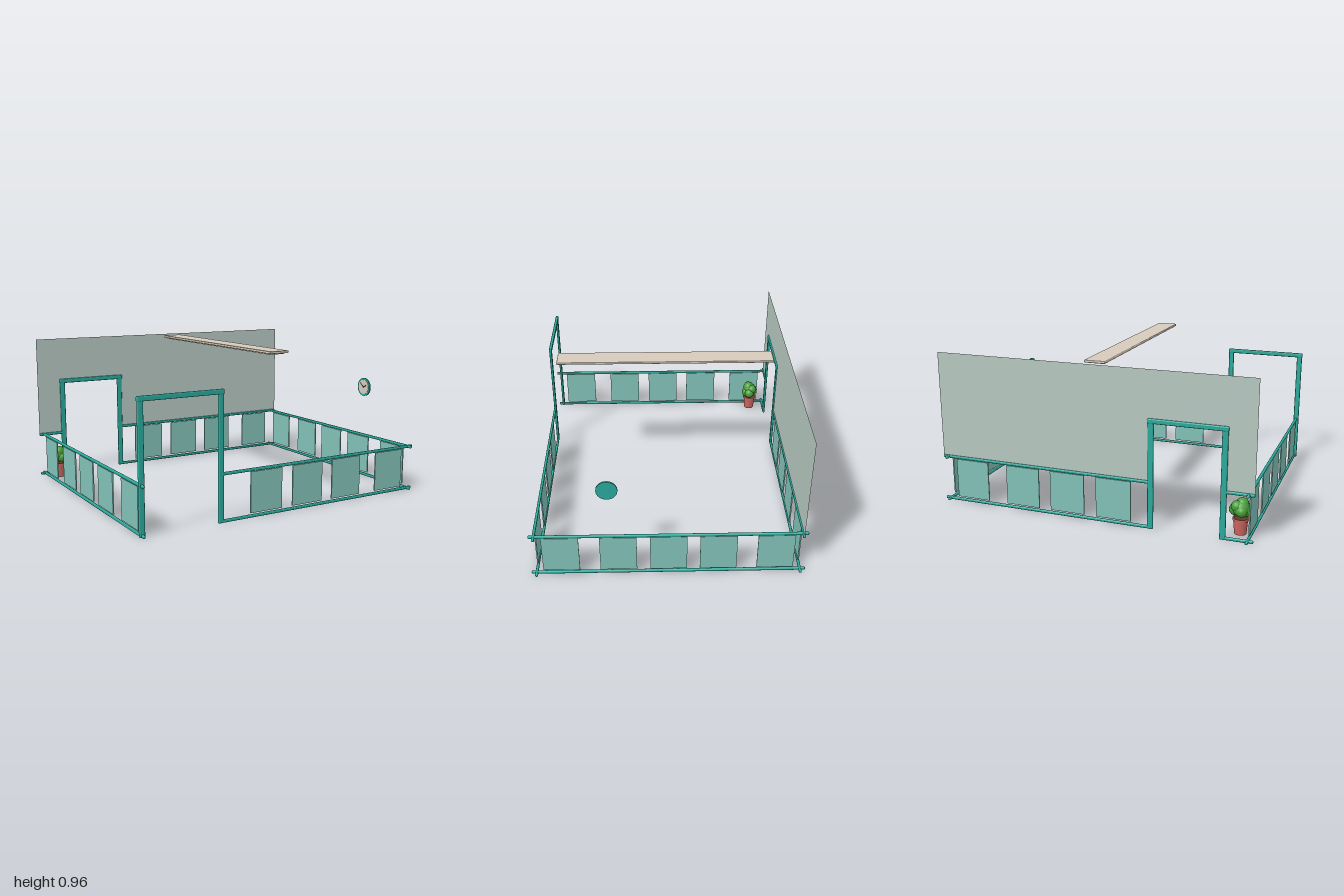
import * as THREE from 'three';
import { RoundedBoxGeometry } from 'three/addons/geometries/RoundedBoxGeometry.js';

const mat = (name, color, side = THREE.FrontSide) => {
  const m = new THREE.MeshStandardMaterial({ color, side });
  m.name = name;
  return m;
};

export function createModel() {
  const teal = mat('teal frame', 0x2aa99b);
  const glass = mat('pale teal panel', 0x82c1b7);
  const wallGrey = mat('grey green wall', 0xb7c8c1, THREE.DoubleSide);
  const beige = mat('beige', 0xd6cabb);
  const dark = mat('dark hands', 0x3a3a3a);
  const clay = mat('clay pot', 0xc9645e);
  const soil = mat('soil', 0x5a3d2b);
  const leaf = mat('leaf green', 0x479f38);

  const model = new THREE.Group();
  model.name = 'room';

  const add = (parent, name, geometry, material, x = 0, y = 0, z = 0) => {
    const mesh = new THREE.Mesh(geometry, material);
    mesh.name = name;
    mesh.position.set(x, y, z);
    parent.add(mesh);
    return mesh;
  };
  const group = (name, x = 0, y = 0, z = 0) => {
    const g = new THREE.Group();
    g.name = name;
    g.position.set(x, y, z);
    model.add(g);
    return g;
  };
  const bar = (parent, name, w, h, d, x, y, z) =>
    add(parent, name, new RoundedBoxGeometry(w, h, d, 2, 0.007), teal, x, y, z);

  const RAIL_Y = 0.29, BASE_Y = 0.01, SIDE_X = 0.965, END_Z = 0.8;
  const PANEL_W = 0.222, PANEL_H = 0.25, PANEL_Y = 0.153, PANEL_T = 0.008;

  // Rails running along x between two ends
  const railsX = (g, x0, x1, z) => {
    for (const y of [RAIL_Y, BASE_Y]) bar(g, 'rail', x1 - x0, 0.019, 0.017, (x0 + x1) / 2, y, z);
  };

  // Doorway: two posts and a lintel
  const doorway = (g, x0, x1, height, z) => {
    for (const x of [x0, x1]) bar(g, 'doorPost', 0.036, height - 0.015, 0.017, x, (height - 0.015) / 2, z);
    bar(g, 'doorLintel', x1 - x0 + 0.042, 0.03, 0.02, (x0 + x1) / 2, height - 0.015, z);
  };

  // Front and back low walls, each with a doorway
  const frontFence = group('frontFence');
  railsX(frontFence, -0.48, 1, END_Z);
  doorway(frontFence, -0.965, -0.466, 0.78, END_Z);
  const backFence = group('backFence');
  railsX(backFence, -0.4, 1, -END_Z);
  railsX(backFence, -1, -0.81, -END_Z);
  doorway(backFence, -0.821, -0.386, 0.675, -END_Z);
  for (const [g, z] of [[frontFence, END_Z], [backFence, -END_Z]]) {
    for (const x of [-0.154, 0.146, 0.445, 0.796]) {
      add(g, 'panel', new THREE.BoxGeometry(PANEL_W, PANEL_H, PANEL_T), glass, x, PANEL_Y, z);
    }
  }

  // Left and right low walls
  for (const s of [-1, 1]) {
    const g = group(s > 0 ? 'leftFence' : 'rightFence');
    for (const y of [RAIL_Y, BASE_Y]) bar(g, 'rail', 0.017, 0.019, 1.665, s * SIDE_X, y, 0);
    for (const z of [-0.645, -0.3, 0, 0.302, 0.648]) {
      add(g, 'panel', new THREE.BoxGeometry(PANEL_T, PANEL_H, PANEL_W), glass, s * SIDE_X, PANEL_Y, z);
    }
  }

  // Upper back wall, notched around the doorway
  const outline = [
    [-1, 0.29], [-0.825, 0.29], [-0.825, 0.66], [-0.382, 0.66],
    [-0.382, 0.29], [1, 0.29], [1, 0.96], [-1, 0.96],
  ].map(([x, y]) => new THREE.Vector2(x, y));
  add(model, 'upperBackWall', new THREE.ShapeGeometry(new THREE.Shape(outline)), wallGrey, 0, 0, -END_Z);

  // Long ceiling strip with a narrower underside
  const strip = group('ceilingStrip');
  add(strip, 'stripPlate', new RoundedBoxGeometry(0.134, 0.016, 1.394, 2, 0.005), beige, 0, 0.951, 0);
  add(strip, 'stripUnderside', new THREE.BoxGeometry(0.1, 0.008, 1.33), beige, 0, 0.94, 0);

  // Round clock facing into the room
  const clock = group('clock', 0.962, 0.63, 0.355);
  clock.rotation.z = Math.PI / 2; // local +y points to -x
  add(clock, 'clockCase', new THREE.CylinderGeometry(0.0625, 0.0625, 0.01, 40), teal);
  add(clock, 'clockFace', new THREE.CylinderGeometry(0.05, 0.05, 0.002, 40), beige, 0, 0.006, 0);
  add(clock, 'clockHub', new THREE.CylinderGeometry(0.005, 0.005, 0.004, 12), dark, 0, 0.008, 0);
  for (const [length, angle] of [[0.04, 0.9], [0.028, -1.1]]) {
    const geo = new THREE.BoxGeometry(length, 0.002, 0.005).translate(length / 2, 0, 0);
    add(clock, 'clockHand', geo, dark, 0, 0.008, 0).rotation.y = angle;
  }

  // Potted bush in the back corner
  const plant = group('plant', -0.9, 0, -0.69);
  const potProfile = [[0, 0.005], [0.036, 0.005], [0.042, 0.088], [0.047, 0.088], [0.047, 0.104], [0.04, 0.104], [0.04, 0.096]]
    .map(([r, y]) => new THREE.Vector2(r, y));
  const potGeo = new THREE.LatheGeometry(potProfile, 24).toNonIndexed();
  potGeo.computeVertexNormals();
  add(plant, 'pot', potGeo, clay);
  add(plant, 'soil', new THREE.CylinderGeometry(0.04, 0.04, 0.004, 24), soil, 0, 0.096, 0);
  const puffs = [
    [0, 0.16, 0, 0.05], [-0.024, 0.145, 0.004, 0.036], [0.036, 0.148, 0.006, 0.036],
    [-0.005, 0.183, 0.01, 0.039], [0.012, 0.145, 0.025, 0.036],
    [-0.008, 0.15, -0.026, 0.034], [0.022, 0.175, -0.014, 0.034],
  ];
  for (const [x, y, z, r] of puffs) add(plant, 'foliage', new THREE.SphereGeometry(r, 16, 12), leaf, x, y, z);

  return model;
}
